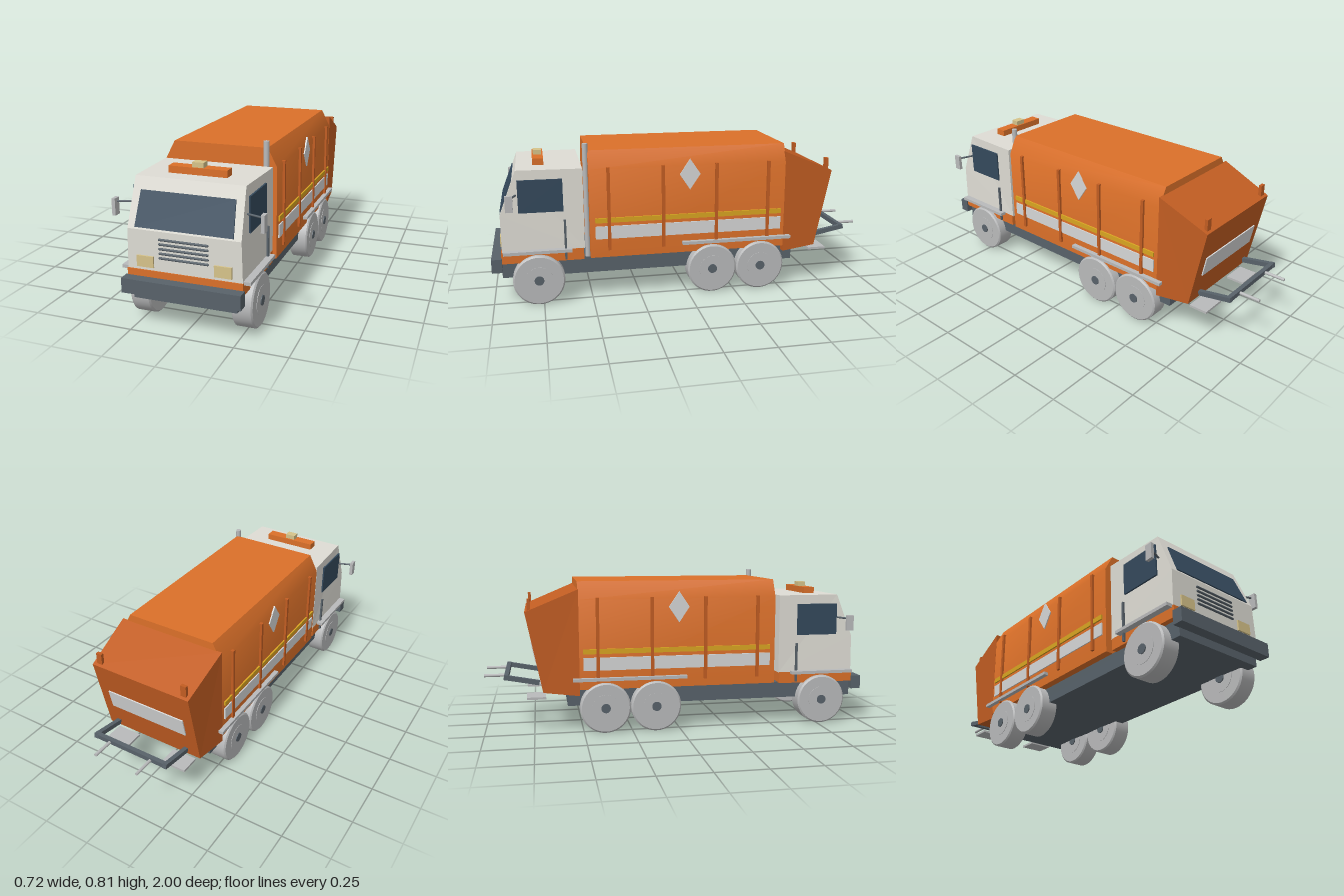
import * as THREE from 'three';
import { toCreasedNormals } from 'three/addons/utils/BufferGeometryUtils.js';

const mat = (name, color) => {
  const m = new THREE.MeshStandardMaterial({ color });
  m.name = name;
  return m;
};

export function createModel() {
  const truck = new THREE.Group();
  truck.name = 'refuseTruck';

  const orange = mat('orange', 0xdb7029);
  const darkOrange = mat('dark orange', 0xc25d22);
  const white = mat('cab white', 0xdedcd4);
  const silver = mat('silver', 0xb9babb);
  const pale = mat('reflective white', 0xd6d7d7);
  const dark = mat('dark grey', 0x58626a);
  const glass = mat('glass', 0x34495c);
  const lamp = mat('lamp', 0xd6c38a);
  const yellow = mat('yellow', 0xd9a521);

  const add = (name, geometry, material, x = 0, y = 0, z = 0) => {
    const mesh = new THREE.Mesh(geometry, material);
    mesh.name = name;
    mesh.position.set(x, y, z);
    truck.add(mesh);
    return mesh;
  };
  // Box given by its limits on each axis
  const box = (name, material, [x0, x1], [y0, y1], [z0, z1]) =>
    add(name, new THREE.BoxGeometry(x1 - x0, y1 - y0, z1 - z0), material,
      (x0 + x1) / 2, (y0 + y1) / 2, (z0 + z1) / 2);
  // The same box on both sides of the truck
  const pair = (name, material, [x0, x1], y, z) => {
    box(name + 'Left', material, [x0, x1], y, z);
    box(name + 'Right', material, [-x1, -x0], y, z);
  };
  const rod = (name, material, a, b, r) => {
    const from = new THREE.Vector3(...a), to = new THREE.Vector3(...b);
    const dir = to.clone().sub(from);
    const mesh = add(name, new THREE.CylinderGeometry(r, r, dir.length(), 16), material);
    mesh.position.copy(from).add(to).multiplyScalar(0.5);
    mesh.quaternion.setFromUnitVectors(new THREE.Vector3(0, 1, 0), dir.normalize());
    return mesh;
  };
  const outline = (points) => new THREE.Shape(points.map(([x, y]) => new THREE.Vector2(x, y)));
  const extrude = (points, depth) =>
    new THREE.ExtrudeGeometry(outline(points), { depth, bevelEnabled: false }).translate(0, 0, -depth / 2);
  // Side profile of [z, y] points, with half width given by a rule
  const sideProfile = (points, halfWidth) => {
    const g = extrude(points, 2).rotateY(-Math.PI / 2);
    const p = g.attributes.position;
    for (let i = 0; i < p.count; i++) p.setX(i, p.getX(i) * halfWidth(p.getY(i), p.getZ(i)));
    g.computeVertexNormals();
    return g;
  };

  // Chassis and front bumper
  box('chassis', dark, [-0.25, 0.25], [0.14, 0.225], [-0.58, 0.95]);
  box('frontBumper', dark, [-0.285, 0.285], [0.18, 0.25], [0.948, 1.0]);
  box('cabBase', orange, [-0.277, 0.277], [0.222, 0.282], [0.54, 0.95]);

  // Cab, narrowing towards the front of the roof
  add('cab', sideProfile(
    [[0.535, 0.28], [0.945, 0.28], [0.945, 0.47], [0.86, 0.692], [0.535, 0.692]],
    (y, z) => (y > 0.6 ? (z > 0.8 ? 0.262 : 0.274) : y > 0.4 ? 0.27 : 0.275)), white);
  const windscreen = add('windscreen', extrude(
    [[-0.234, 0.009], [0.234, 0.009], [0.225, 0.177], [-0.225, 0.177]], 0.009), glass, 0, 0.47, 0.946);
  windscreen.rotation.x = -Math.atan2(0.085, 0.222);
  pair('sideWindow', glass, [0.27, 0.2785], [0.48, 0.645], [0.635, 0.855]);
  pair('grabRail', dark, [0.278, 0.288], [0.23, 0.437], [0.625, 0.636]);
  pair('headlight', lamp, [0.145, 0.227], [0.297, 0.35], [0.944, 0.953]);
  for (let i = 0; i < 5; i++) {
    const bar = add('grilleBar' + (i + 1), new THREE.CapsuleGeometry(0.0058, 0.228, 4, 10), dark,
      0, 0.347 + i * 0.0217, 0.947);
    bar.rotation.z = Math.PI / 2;
  }
  box('beaconBar', orange, [-0.142, 0.142], [0.69, 0.725], [0.72, 0.776]);
  box('beaconLamp', lamp, [-0.028, 0.028], [0.725, 0.749], [0.728, 0.77]);
  for (const s of [1, -1]) {
    rod('mirrorArm', dark, [s * 0.268, 0.57, 0.865], [s * 0.35, 0.57, 0.893], 0.005);
  }
  pair('mirror', silver, [0.344, 0.361], [0.508, 0.588], [0.877, 0.914]);
  rod('exhaustStack', silver, [0.236, 0.222, 0.517], [0.236, 0.81, 0.517], 0.014);

  // Mudguards
  pair('frontMudguard', silver, [0.2, 0.309], [0.273, 0.289], [0.6, 0.94]);
  pair('rearMudguard', silver, [0.24, 0.309], [0.273, 0.289], [-0.553, 0.032]);

  // Refuse body with chamfered roof edges
  const half = [[0.285, 0.228], [0.285, 0.685], [0.238, 0.775]];
  const section = [...half, ...half.map(([x, y]) => [-x, y]).reverse()];
  add('refuseBody', toCreasedNormals(extrude(section, 1.03), 0.7), orange, 0, 0, -0.008);
  for (const z of [0.41, 0.131, -0.148, -0.426]) {
    pair('bodyRib', darkOrange, [0.28, 0.297], [0.267, 0.695], [z - 0.008, z + 0.008]);
  }
  pair('yellowStripe', yellow, [0.284, 0.293], [0.411, 0.436], [-0.5, 0.48]);
  pair('whiteStripe', pale, [0.284, 0.291], [0.326, 0.392], [-0.5, 0.48]);
  for (const s of [1, -1]) {
    add('diamondPlate', sideProfile(
      [[-0.062, 0.643], [-0.008, 0.563], [0.046, 0.643], [-0.008, 0.722]], () => 0.004),
    pale, s * 0.287, 0, 0);
  }

  // Tailgate hopper, narrowing to the rear
  add('tailgate', sideProfile(
    [[-0.52, 0.738], [-0.785, 0.627], [-0.702, 0.218], [-0.52, 0.197]].reverse(),
    (y, z) => (z < -0.6 ? 0.272 : 0.286)), darkOrange);
  const rearPlate = add('rearPlate', new THREE.BoxGeometry(0.434, 0.105, 0.009), pale, 0, 0.418, -0.744);
  rearPlate.rotation.x = -Math.atan2(0.083, 0.409);
  pair('tailgatePost', darkOrange, [0.224, 0.254], [0.61, 0.69], [-0.772, -0.756]);

  // Rear lifting frame, forks and steps
  const barEnd = [0.29, -0.884];
  for (const s of [1, -1]) {
    const arm = add('liftArm', new THREE.BoxGeometry(0.022, 0.024, 0.18), dark, s * 0.203, 0.275, -0.808);
    arm.rotation.x = 0.19;
    rod('liftFork', silver, [s * 0.12, 0.288, -0.88], [s * 0.12, 0.288, -1.0], 0.008);
  }
  box('liftBar', dark, [-0.214, 0.214], [barEnd[0] - 0.012, barEnd[0] + 0.012],
    [barEnd[1] - 0.011, barEnd[1] + 0.011]);
  pair('rearStep', silver, [0.105, 0.235], [0.176, 0.188], [-0.785, -0.688]);

  // Wheels with a raised disc and a dark hub
  const tyreProfile = [[0, -0.05], [0.122, -0.05], [0.13, -0.043], [0.13, 0.043], [0.122, 0.05], [0, 0.05]];
  const tyre = toCreasedNormals(
    new THREE.LatheGeometry(tyreProfile.map(([r, y]) => new THREE.Vector2(r, y)), 40), 0.6);
  const disc = new THREE.CylinderGeometry(0.07, 0.07, 0.104, 32);
  const hub = new THREE.CylinderGeometry(0.024, 0.024, 0.114, 20);
  for (const z of [0.77, -0.128, -0.39]) {
    for (const s of [1, -1]) {
      for (const [name, geometry, material] of
        [['wheel', tyre, silver], ['wheelDisc', disc, silver], ['wheelHub', hub, dark]]) {
        add(name, geometry, material, s * 0.25, 0.131, z).rotation.z = Math.PI / 2;
      }
    }
  }
  return truck;
}
